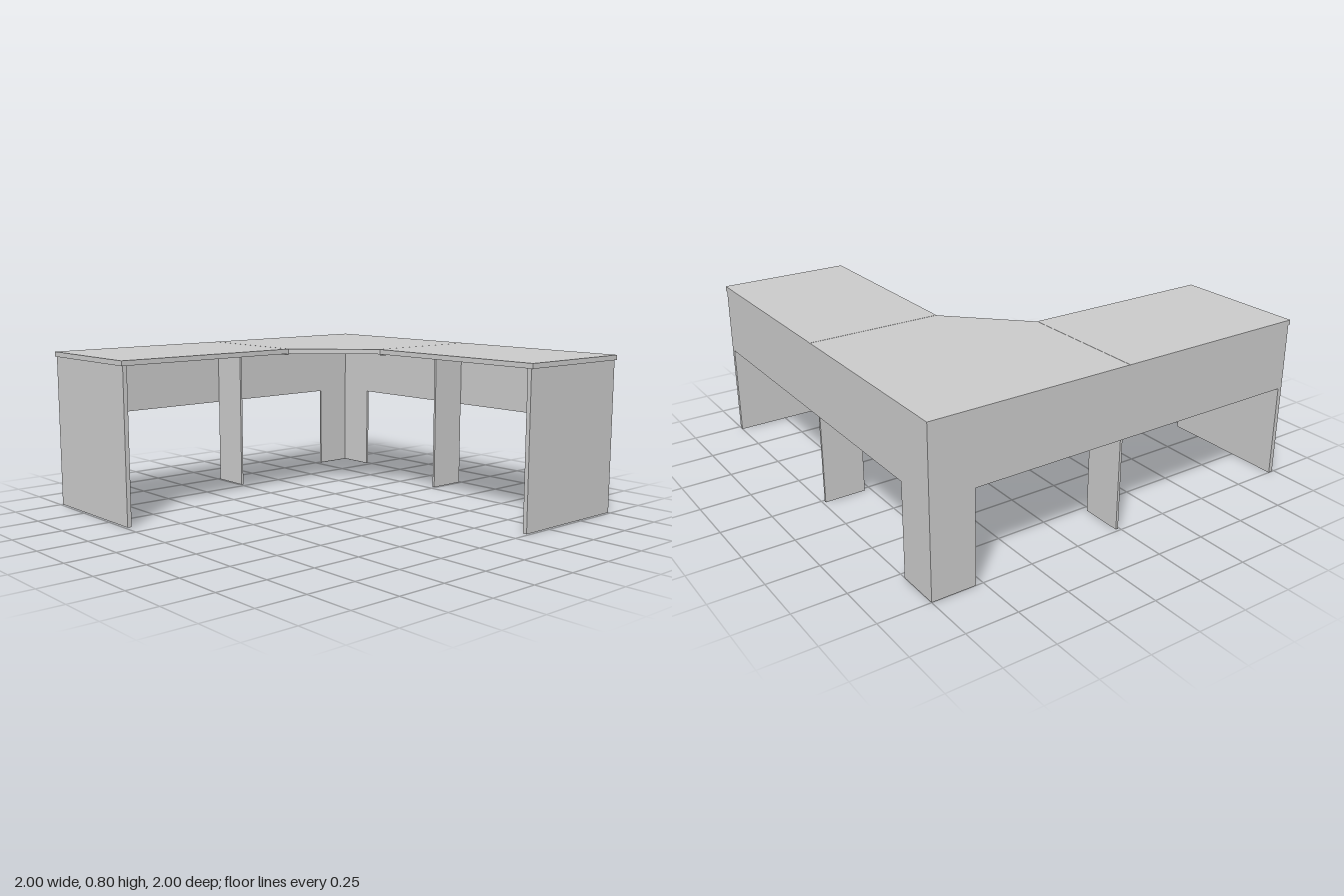
import * as THREE from 'three';

const TOP = 0.8, UNDER = 0.775; // worktop upper and lower faces
const DEPTH = 0.66;             // depth of each wing
const T = 0.013;                // thin panel thickness
const END = 0.965;              // inner face of the end panels

export function createModel() {
  const group = new THREE.Group();
  const material = new THREE.MeshStandardMaterial({ color: 0xcccccc, flatShading: true });

  function add(name, geometry) {
    const mesh = new THREE.Mesh(geometry, material);
    mesh.name = name;
    group.add(mesh);
  }

  // Box between limits along the wing (u), up (y) and across it (v).
  // The side wing is the back wing with x and z exchanged.
  function addBox(name, side, [u0, u1], [y0, y1], [v0, v1]) {
    const du = u1 - u0, dv = v1 - v0, u = (u0 + u1) / 2, v = (v0 + v1) / 2;
    const geometry = new THREE.BoxGeometry(side ? dv : du, y1 - y0, side ? du : dv);
    geometry.translate(side ? v : u, (y0 + y1) / 2, side ? u : v);
    add(name, geometry);
  }

  const polygon = (points) => new THREE.Shape(points.map(([x, y]) => new THREE.Vector2(x, y)));
  const extrude = (points, depth) =>
    new THREE.ExtrudeGeometry(polygon(points), { depth, bevelEnabled: false });

  // Corner worktop with a diagonal inner edge (shape drawn in x, -z)
  const inner = DEPTH - 1;
  const corner = extrude([[-1, 0], [inner, 0], [0, -inner], [0, 1], [-1, 1]], TOP - UNDER);
  corner.rotateX(-Math.PI / 2).translate(0, UNDER, 0);
  add('cornerTop', corner);

  for (const side of [false, true]) {
    const prefix = side ? 'side' : 'back';

    // Straight worktop and the joint strip against the corner top
    addBox(prefix + 'Top', side, [0.004, side ? 0.997 : 1], [UNDER, TOP], [-1, inner]);
    addBox(prefix + 'JointStrip', side, [0, 0.006], [0.768, TOP - 0.001], [-1, inner]);

    // Full-height end panel
    addBox(prefix + 'EndPanel', side, [END, 0.987], [0, UNDER], [-1, inner - 0.007]);

    // Narrow support leg under the joint
    addBox(prefix + 'MiddleLeg', side, [-0.021, -0.009], [0, UNDER], [-1 + T, -0.78]);

    // Modesty panel running down into one half of the corner leg
    const start = side ? -1 + T : -1;
    const panel = extrude(
      [[start, 0], [-0.785, 0], [-0.785, 0.455], [END, 0.455], [END, UNDER], [start, UNDER]], T);
    if (side) panel.rotateY(-Math.PI / 2).translate(-1 + T, 0, 0);
    else panel.translate(0, 0, -1);
    add(prefix + 'ModestyPanel', panel);
  }
  return group;
}
